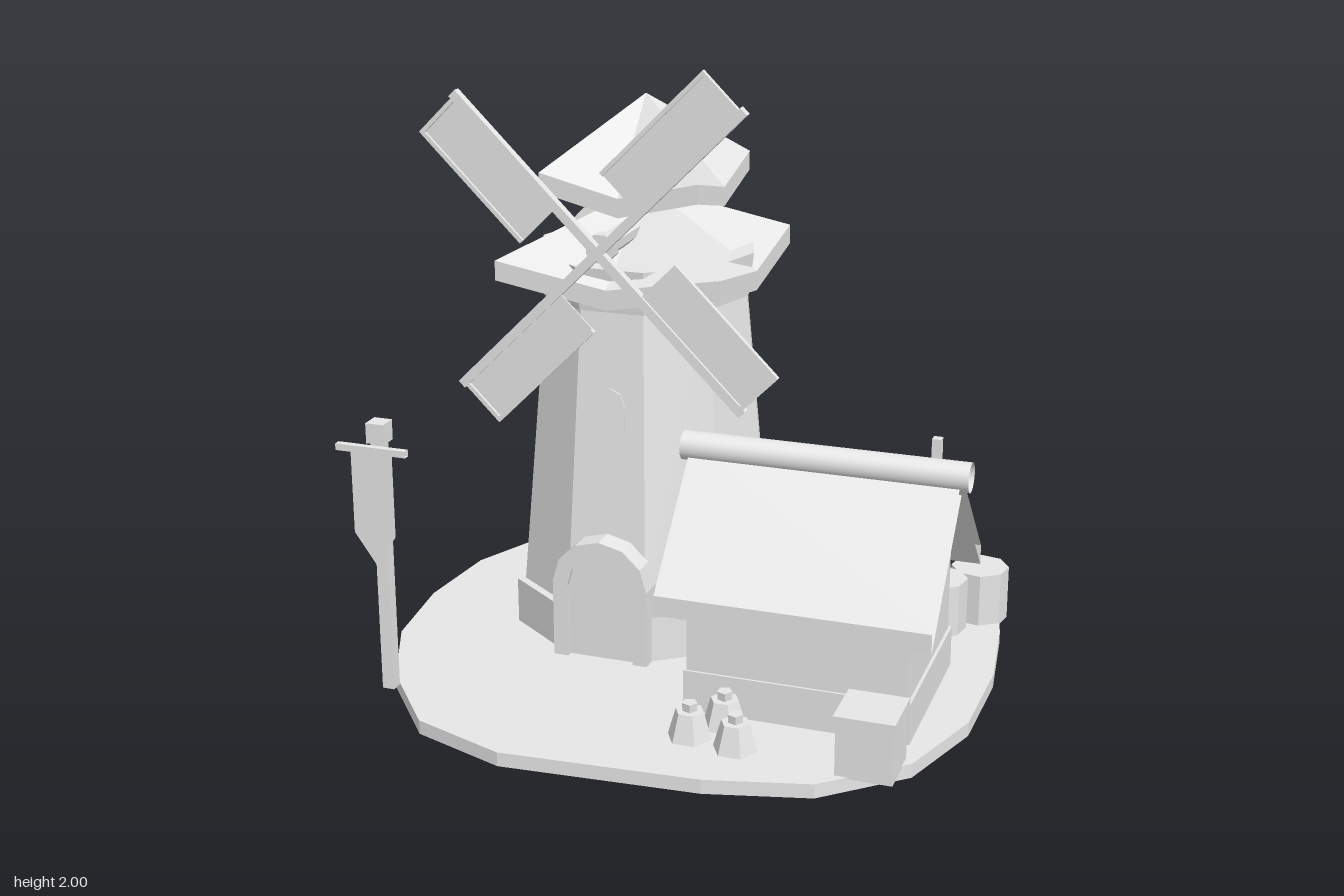
import * as THREE from 'three';

const stone = new THREE.MeshStandardMaterial({ color: 0xe7e7e7 });
stone.name = 'pale grey';
stone.flatShading = true;
// same colour for smooth and for open, thin parts
const smooth = stone.clone();
smooth.flatShading = false;
smooth.side = THREE.DoubleSide;
const sheet = stone.clone();
sheet.side = THREE.DoubleSide;

function add(parent, name, geometry, x = 0, y = 0, z = 0, material = stone) {
  const mesh = new THREE.Mesh(geometry, material);
  mesh.name = name;
  mesh.position.set(x, y, z);
  parent.add(mesh);
  return mesh;
}

// box given by its limits
function box(parent, name, x0, x1, y0, y1, z0, z1) {
  return add(parent, name, new THREE.BoxGeometry(x1 - x0, y1 - y0, z1 - z0),
    (x0 + x1) / 2, (y0 + y1) / 2, (z0 + z1) / 2);
}

// prism or frustum standing between two heights
function drum(parent, name, rTop, rBottom, y0, y1, sides, x, z, turn = 0, open = false) {
  const g = new THREE.CylinderGeometry(rTop, rBottom, y1 - y0, sides, 1, open).rotateY(turn);
  return add(parent, name, g, x, (y0 + y1) / 2, z);
}

function shapeOf(points) {
  return new THREE.Shape(points.map(([x, y]) => new THREE.Vector2(x, y)));
}

function extrude(points, depth) {
  return new THREE.ExtrudeGeometry(shapeOf(points), { depth, bevelEnabled: false });
}

// square roof whose corners turn up and whose eaves dip in the middle
function dippedRoof(half, apex, corner, middle, thick) {
  const pos = [];
  const ring = (i, drop) => {
    const a = (i * Math.PI) / 4;
    return [Math.round(Math.sin(a)) * half, (i % 2 ? corner : middle) - drop, Math.round(Math.cos(a)) * half];
  };
  for (let i = 0; i < 8; i++) {
    const p = ring(i, 0), q = ring(i + 1, 0), b = ring(i, thick), c = ring(i + 1, thick);
    pos.push(...[0, apex, 0], ...p, ...q);
    pos.push(...p, ...b, ...c, ...p, ...c, ...q);
    pos.push(...[0, middle - thick, 0], ...c, ...b);
  }
  const g = new THREE.BufferGeometry();
  g.setAttribute('position', new THREE.Float32BufferAttribute(pos, 3));
  g.computeVertexNormals();
  return g;
}

// low-sided arch outline standing on y = 0
function arch(halfWidth, spring, rise, steps) {
  const pts = [[-halfWidth, 0], [halfWidth, 0]];
  for (let i = 0; i <= steps; i++) {
    const a = (i / steps) * Math.PI;
    pts.push([Math.cos(a) * halfWidth, spring + Math.sin(a) * rise]);
  }
  return pts;
}

function makeGround() {
  const outline = [[0, -0.99], [0.31, -0.93], [0.63, -0.85], [0.88, -0.63], [0.95, -0.33], [0.993, 0],
    [0.985, 0.35], [0.88, 0.66], [0.64, 0.87], [0.32, 0.95], [-0.31, 0.99], [-0.62, 0.88], [-0.83, 0.62],
    [-0.96, 0.32], [-0.995, 0], [-0.96, -0.32], [-0.83, -0.6], [-0.61, -0.83], [-0.3, -0.93]];
  const pts = outline.map(([x, z]) => [x, -z]).reverse();
  return extrude(pts, 0.046).rotateX(-Math.PI / 2);
}

function makeMill() {
  const mill = new THREE.Group();
  mill.name = 'mill';
  mill.position.set(-0.245, 0, -0.165);
  const t = Math.PI / 2;
  // open rings: the plinth stands around the foot of the tower
  drum(mill, 'plinth', 0.465, 0.465, 0.04, 0.2, 10, 0, 0, t, true);
  drum(mill, 'tower', 0.34, 0.437, 0.2, 1.25, 10, 0, 0, t, true);
  drum(mill, 'collar', 0.368, 0.35, 1.19, 1.335, 10, 0, 0, t);
  add(mill, 'lowerRoof', dippedRoof(0.378, 1.53, 1.34, 1.275, 0.065));
  add(mill, 'upperRoof', dippedRoof(0.267, 1.835, 1.61, 1.545, 0.063));

  // arched doorway with a hollow frame
  const frame = shapeOf(arch(0.162, 0.26, 0.155, 6));
  frame.holes.push(new THREE.Path(arch(0.112, 0.25, 0.11, 6).map(([x, y]) => new THREE.Vector2(x, y))));
  add(mill, 'doorFrame', new THREE.ExtrudeGeometry(frame, { depth: 0.2, bevelEnabled: false }), 0, 0.045, 0.275);
  add(mill, 'door', extrude(arch(0.112, 0.25, 0.11, 6), 0.18), 0, 0.045, 0.275);

  // window lying on the sloped wall
  const win = add(mill, 'window', extrude(arch(0.052, 0.1, 0.06, 4), 0.012), 0, 0.785, 0.36);
  win.rotation.x = -0.092;
  return mill;
}

function makeSails() {
  const sails = new THREE.Group();
  sails.name = 'sails';
  sails.position.set(-0.245, 1.412, 0.275);
  const rod = (name, r, length, z) =>
    add(sails, name, new THREE.CylinderGeometry(r, r, length, 8).rotateY(Math.PI / 8).rotateX(Math.PI / 2), 0, 0.008, z);
  rod('axle', 0.036, 0.36, -0.195);
  rod('hub', 0.049, 0.045, -0.038);
  for (let i = 0; i < 4; i++) {
    const blade = new THREE.Group();
    blade.name = 'blade';
    blade.rotation.z = Math.PI / 4 + (i * Math.PI) / 2;
    box(blade, 'spar', 0, 0.668, -0.015, 0.015, -0.016, 0.013);
    box(blade, 'panel', 0.19, 0.65, 0, 0.165, -0.003, 0.003);
    box(blade, 'edgeBar', 0.19, 0.658, 0.158, 0.172, -0.005, 0.013);
    box(blade, 'tipBar', 0.645, 0.659, 0, 0.172, -0.005, 0.013);
    sails.add(blade);
  }
  return sails;
}

function makeHouse() {
  const house = new THREE.Group();
  house.name = 'house';
  box(house, 'housePlinth', 0.125, 0.845, 0.04, 0.18, -0.03, 0.55);
  const gable = [[-0.28, 0.18], [0.28, 0.18], [0.28, 0.523], [0, 0.806], [-0.28, 0.523]];
  add(house, 'houseWalls', extrude(gable, 0.7).rotateY(Math.PI / 2), 0.135, 0, 0.262);

  // roof slabs with open ends: top, fascia and underside
  const section = [[0, 0.818], [0.355, 0.449], [0.355, 0.384], [0, 0.753]];
  for (const side of [-1, 1]) {
    const pos = [];
    for (let i = 0; i < 3; i++) {
      const [za, ya] = section[i], [zb, yb] = section[i + 1];
      const a = [0.055, ya, za * side], b = [0.917, ya, za * side];
      const c = [0.917, yb, zb * side], d = [0.055, yb, zb * side];
      if (side > 0) pos.push(...a, ...d, ...c, ...a, ...c, ...b);
      else pos.push(...a, ...c, ...d, ...a, ...b, ...c);
    }
    const g = new THREE.BufferGeometry();
    g.setAttribute('position', new THREE.Float32BufferAttribute(pos, 3));
    g.computeVertexNormals();
    add(house, 'houseRoof', g, 0, 0, 0.262, sheet);
  }
  const log = new THREE.CylinderGeometry(0.047, 0.047, 0.915, 24, 1, true).rotateZ(Math.PI / 2);
  add(house, 'ridgeLog', log, 0.487, 0.811, 0.258, smooth);
  return house;
}

function makeBannerPost() {
  const post = new THREE.Group();
  post.name = 'bannerPost';
  box(post, 'pole', -0.833, -0.793, 0.04, 0.87, 0.665, 0.705);
  box(post, 'poleCap', -0.842, -0.782, 0.87, 0.935, 0.655, 0.715);
  const bar = new THREE.CylinderGeometry(0.015, 0.015, 0.235, 4, 1, true).rotateY(Math.PI / 4).rotateZ(Math.PI / 2);
  add(post, 'crossbar', bar, -0.808, 0.864, 0.747, sheet);
  const cloth = [[-0.07, 0.86], [-0.07, 0.585], [0, 0.485], [0.07, 0.585], [0.07, 0.86]];
  add(post, 'banner', new THREE.ShapeGeometry(shapeOf(cloth)), -0.81, 0, 0.747, sheet);
  return post;
}

export function createModel() {
  const model = new THREE.Group();
  model.name = 'windmillYard';
  add(model, 'ground', makeGround());
  model.add(makeMill(), makeSails(), makeHouse(), makeBannerPost());

  // yard clutter
  box(model, 'crate', 0.68, 0.855, 0.04, 0.2, 0.63, 0.8);
  box(model, 'crateLid', 0.673, 0.86, 0.2, 0.24, 0.622, 0.807);
  for (const [x, z] of [[0.852, -0.445], [0.74, -0.305]]) {
    drum(model, 'barrel', 0.097, 0.097, 0.04, 0.225, 8, x, z, 0.2);
  }
  for (const [x, z] of [[0.203, 0.71], [0.357, 0.738], [0.28, 0.605]]) {
    drum(model, 'sack', 0.045, 0.072, 0.04, 0.135, 6, x, z, Math.PI / 2);
    drum(model, 'sackTie', 0.025, 0.022, 0.13, 0.162, 5, x, z, Math.PI / 2);
  }
  box(model, 'stake', 0.607, 0.64, 0.04, 0.555, -0.772, -0.738);
  return model;
}
